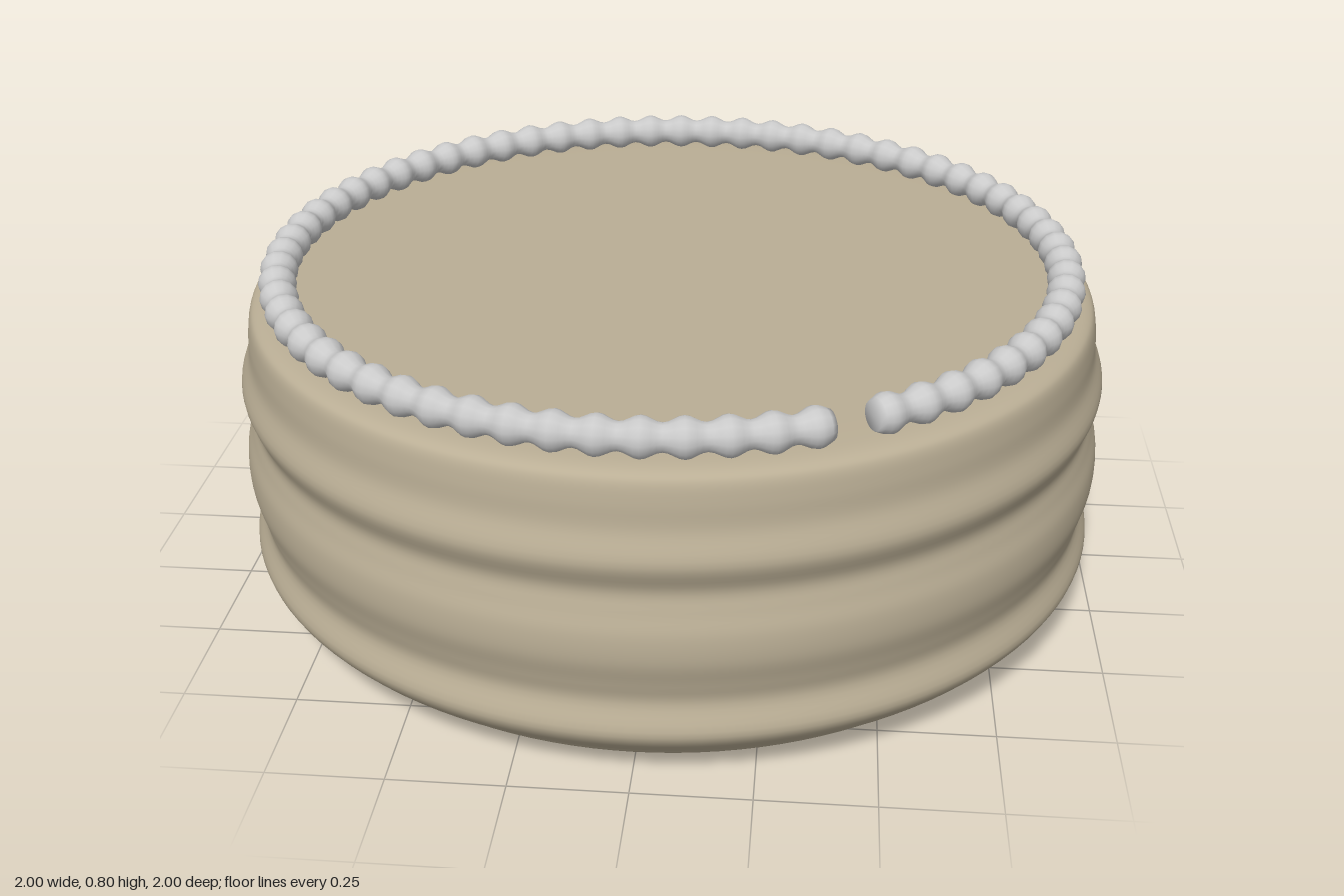
import * as THREE from 'three';
import { mergeVertices } from 'three/addons/utils/BufferGeometryUtils.js';

const bodyMaterial = new THREE.MeshStandardMaterial({ color: 0xbaae95 });
bodyMaterial.name = 'warm beige';
const beadMaterial = new THREE.MeshStandardMaterial({ color: 0xcacaca });
beadMaterial.name = 'silver grey';

const lathe = (points) => new THREE.LatheGeometry(points, 128);
const vectors = (pairs) => pairs.map(([x, y]) => new THREE.Vector2(x, y));

// Ring of beads: a torus arc whose tube swells and narrows, closed at both ends
function beadRing(radius, beads, start, arc) {
  const perBead = 8, sides = 14, steps = beads * perBead;
  const geometry = new THREE.TorusGeometry(radius, 1, sides, steps, arc);
  const position = geometry.attributes.position;
  for (let j = 0; j <= sides; j++) {
    const v = (j % sides) / sides * Math.PI * 2;
    for (let i = 0; i <= steps; i++) {
      // the first and last loops collapse to the centre as end caps
      const k = Math.min(Math.max(i, 1), steps - 1);
      const u = k / steps * arc + start;
      const swell = Math.sin(k / perBead * Math.PI) ** 2;
      const r = i === k ? 0.029 + 0.014 * swell : 0;
      const d = radius + r * Math.cos(v);
      position.setXYZ(j * (steps + 1) + i, d * Math.cos(u), d * Math.sin(u), r * Math.sin(v));
    }
  }
  geometry.deleteAttribute('uv');
  geometry.deleteAttribute('normal');
  const merged = mergeVertices(geometry, 1e-5);
  merged.rotateX(Math.PI / 2);
  merged.computeVertexNormals();
  return merged;
}

export function createModel() {
  const model = new THREE.Group();
  const add = (name, geometry, material) => {
    const mesh = new THREE.Mesh(geometry, material);
    mesh.name = name;
    model.add(mesh);
  };

  // Rippled side wall, from the rounded foot up to the shoulder
  const wall = new THREE.SplineCurve(vectors([
    [0.86, 0.01], [0.89, 0.018], [0.915, 0.045], [0.96, 0.08], [0.997, 0.135],
    [0.976, 0.2], [0.984, 0.25], [0.999, 0.31], [0.998, 0.37], [0.984, 0.42],
    [0.976, 0.465], [0.997, 0.53], [0.976, 0.595], [0.971, 0.65], [0.964, 0.69],
    [0.95, 0.707], [0.92, 0.715], [0.87, 0.717],
  ]));
  add('rippledWall', lathe(wall.getPoints(85)), bodyMaterial);

  // Flat top and underside
  add('topPanel', lathe(vectors([[0.87, 0.717], [0.8, 0.718], [0, 0.718]])), bodyMaterial);
  add('underside', lathe(vectors([[0, 0], [0.3, 0.006], [0.86, 0.01]])), bodyMaterial);

  // Beaded ring, with a small gap towards the front left
  const degrees = Math.PI / 180;
  const ring = beadRing(0.896, 66, 64.6 * degrees, 355.6 * degrees);
  ring.translate(0, 0.757, 0);
  add('beadRing', ring, beadMaterial);

  return model;
}
